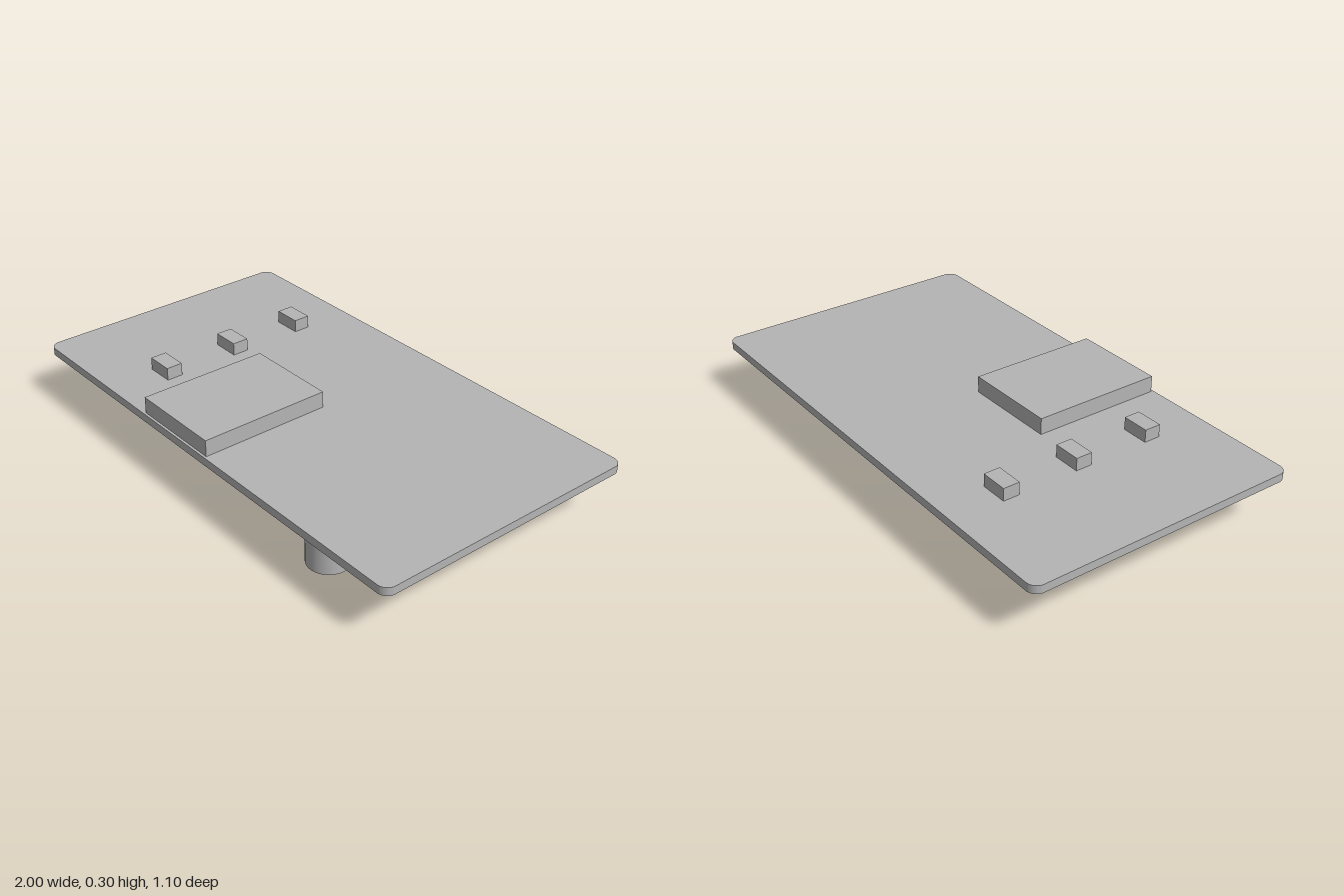
import * as THREE from 'three';
import { toCreasedNormals } from 'three/addons/utils/BufferGeometryUtils.js';

export function createModel() {
  const model = new THREE.Group();
  model.name = 'circuitBoard';
  const grey = new THREE.MeshStandardMaterial({ name: 'grey', color: 0xb4b4b4 });

  const add = (name, geometry, x, y, z) => {
    const mesh = new THREE.Mesh(geometry, grey);
    mesh.name = name;
    mesh.position.set(x, y, z);
    model.add(mesh);
    return mesh;
  };
  // Box given by its limits on each axis
  const addBlock = (name, [x0, x1], [y0, y1], [z0, z1]) =>
    add(name, new THREE.BoxGeometry(x1 - x0, y1 - y0, z1 - z0),
      (x0 + x1) / 2, (y0 + y1) / 2, (z0 + z1) / 2);

  const bottom = 0.2, top = 0.232;

  // Board with rounded corners
  const w = 1, d = 0.548, r = 0.04;
  const outline = new THREE.Shape();
  outline.absarc(w - r, d - r, r, 0, Math.PI / 2);
  outline.absarc(-w + r, d - r, r, Math.PI / 2, Math.PI);
  outline.absarc(-w + r, -d + r, r, Math.PI, Math.PI * 1.5);
  outline.absarc(w - r, -d + r, r, Math.PI * 1.5, Math.PI * 2);
  outline.closePath();
  const board = new THREE.ExtrudeGeometry(outline, { depth: top - bottom, bevelEnabled: false, curveSegments: 10 });
  board.rotateX(-Math.PI / 2);
  add('board', toCreasedNormals(board, 0.6), 0, bottom, 0);

  // Large connector on top, reaching almost to the front edge
  addBlock('topConnector', [-0.32, 0.06], [top, 0.297], [0.013, 0.538]);

  // Row of three small components
  for (const z of [-0.312, -0.003, 0.309]) {
    addBlock('smallComponent', [-0.577, -0.467], [top, 0.282], [z - 0.033, z + 0.033]);
  }

  // Parts hanging below the board
  addBlock('undersideConnector', [0.091, 0.425], [0.154, bottom], [0.132, 0.493]);
  add('undersideCylinder', new THREE.CylinderGeometry(0.081, 0.081, bottom, 48), 0.546, bottom / 2, 0.39);

  return model;
}
